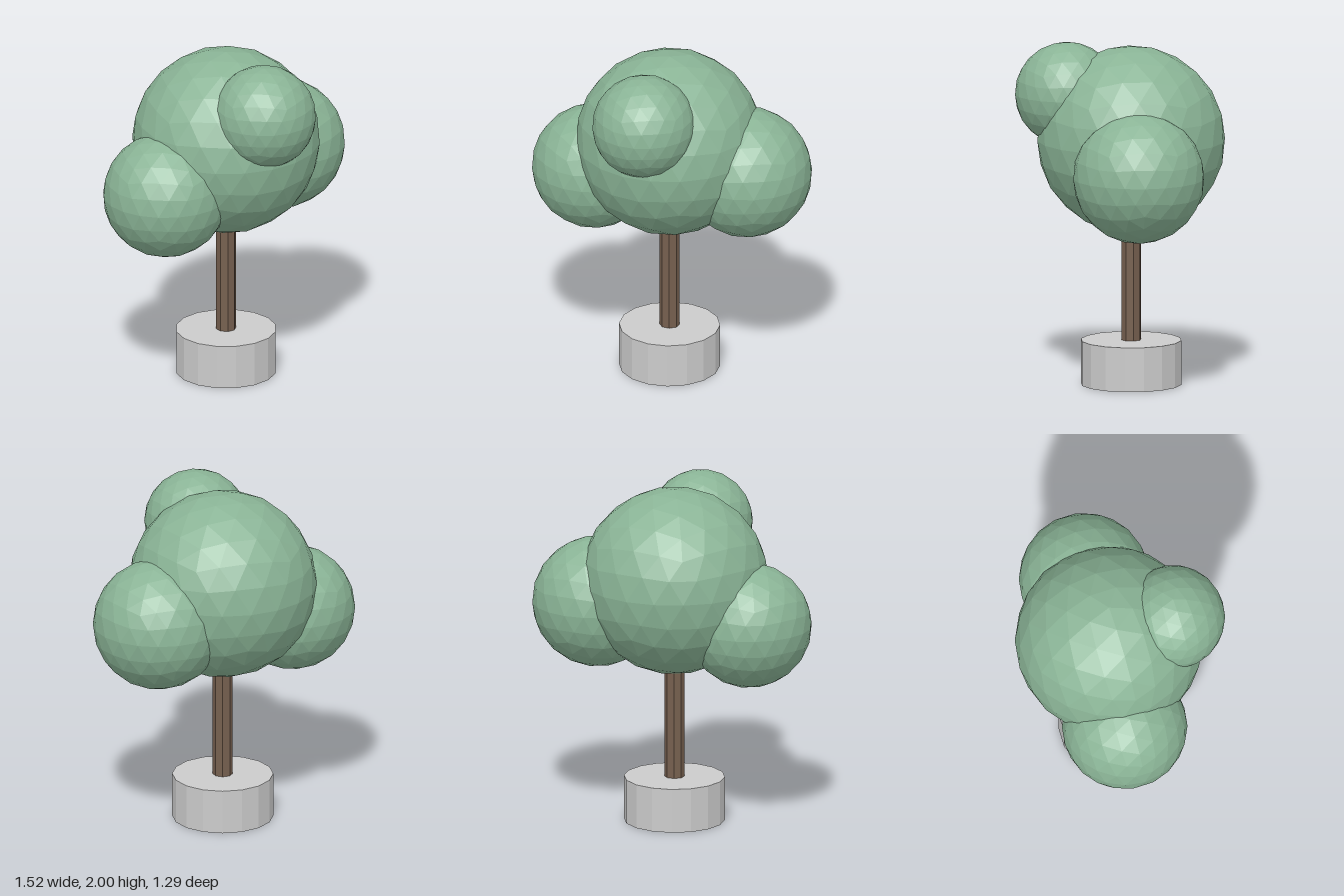
import * as THREE from 'three';

const paint = (color) => new THREE.MeshStandardMaterial({ color, flatShading: true });

export function createModel() {
  const tree = new THREE.Group();
  tree.name = 'pottedTree';
  const leaf = paint(0x8ab496);
  const bark = paint(0x76604f);
  const stone = paint(0xcccccc);

  const add = (name, geometry, material, x, y, z) => {
    const mesh = new THREE.Mesh(geometry, material);
    mesh.name = name;
    mesh.position.set(x, y, z);
    tree.add(mesh);
  };

  // Round planter and trunk
  add('planter', new THREE.CylinderGeometry(0.293, 0.293, 0.26, 16), stone, 0.005, 0.13, 0);
  add('trunk', new THREE.CylinderGeometry(0.058, 0.058, 0.9, 8), bark, 0.005, 0.7, 0);

  // Faceted foliage balls, turned so a vertex points straight up
  const ball = (r) => new THREE.IcosahedronGeometry(r, 3)
    .rotateZ(Math.atan(2 / (1 + Math.sqrt(5))))
    .rotateY(Math.PI);
  const foliage = [
    ['crown', 0.546, 0.005, 1.436, 0],
    ['rightFoliage', 0.364, -0.397, 1.21, 0.222],
    ['leftFoliage', 0.381, 0.375, 1.285, -0.266],
    ['topFoliage', 0.302, 0.16, 1.698, 0.34],
  ];
  for (const [name, r, x, y, z] of foliage) add(name, ball(r), leaf, x, y, z);

  return tree;
}
